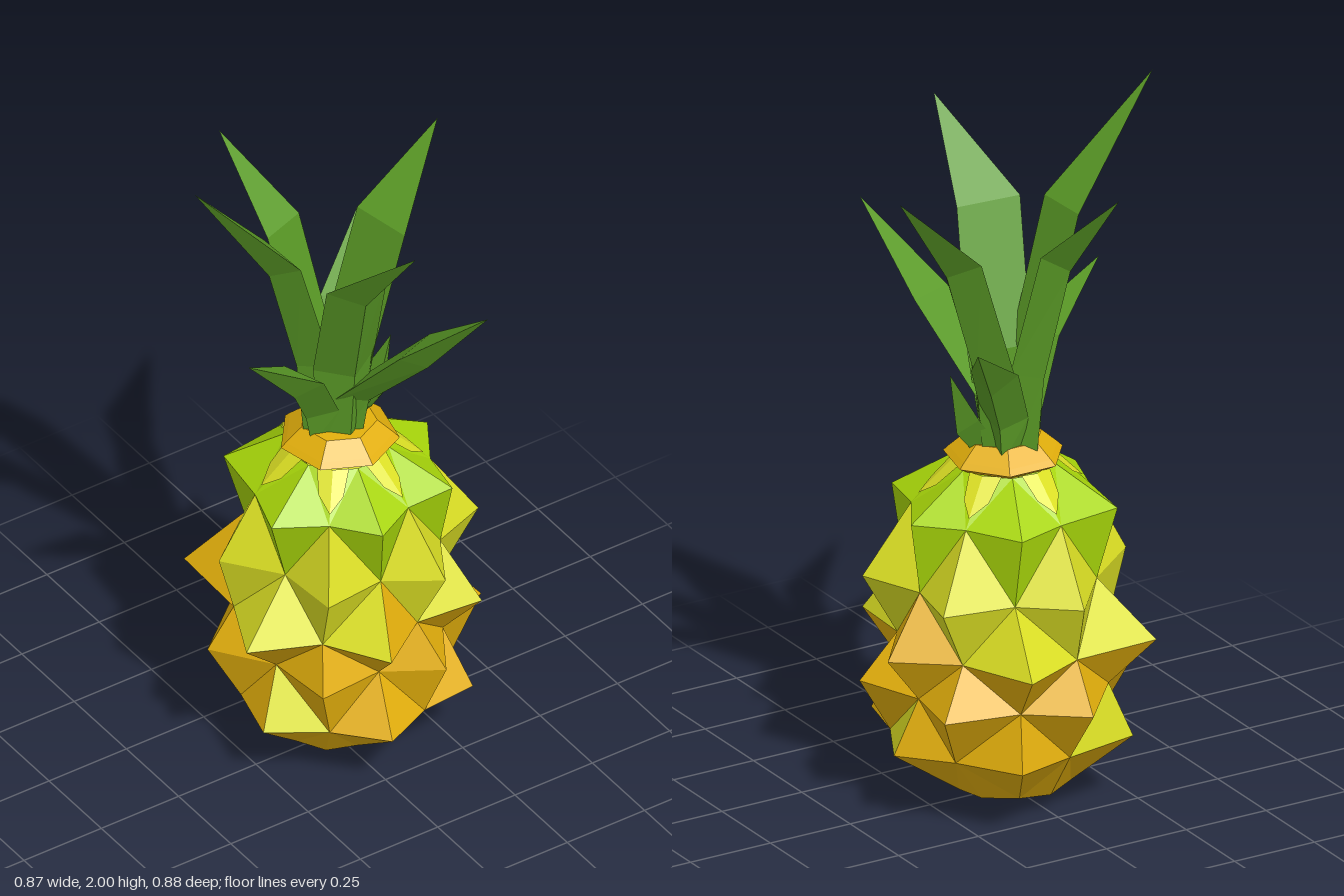
import * as THREE from 'three';

const mat = (name, color) => {
  const m = new THREE.MeshStandardMaterial({ color, flatShading: true, side: THREE.DoubleSide });
  m.name = name;
  return m;
};

function meshFrom(name, tris, material) {
  const g = new THREE.BufferGeometry();
  g.setAttribute('position', new THREE.Float32BufferAttribute(tris.flat().flatMap(p => [p.x, p.y, p.z]), 3));
  g.computeVertexNormals();
  const mesh = new THREE.Mesh(g, material);
  mesh.name = name;
  return mesh;
}

const V = (x, y, z) => new THREE.Vector3(x, y, z);

// Uneven directions shared by all rings; tips and valleys alternate along them
const ANGLES = [7, 35, 68, 97, 135, 172, 201, 230, 258, 284, 311, 337].map(THREE.MathUtils.degToRad);
const N = ANGLES.length;

// y, tip radius, valley radius, centre x, centre z
const RINGS = [
  [0.05, 0.18, 0.17, 0.02, -0.03],
  [0.20, 0.365, 0.30, 0.04, -0.02],
  [0.36, 0.39, 0.29, 0.05, -0.05],
  [0.49, 0.41, 0.30, 0.03, -0.04],
  [0.66, 0.37, 0.27, 0.055, -0.035],
  [0.86, 0.315, 0.25, 0.035, -0.025],
  [0.97, 0.14, 0.14, 0.03, -0.02],
];
const isTip = (k, j) => (j + k) % 2 === 1;

function ringPoint(k, j) {
  j = (j + N) % N;
  const [y, tip, valley, cx, cz] = RINGS[k];
  const r = isTip(k, j) ? tip : valley;
  return V(cx + r * Math.cos(ANGLES[j]), y, cz - r * Math.sin(ANGLES[j]));
}

function makeBody(mats) {
  const body = new THREE.Group();
  body.name = 'body';
  const faces = { gold: [], yellow: [], lime: [] };
  // single spike faces that ripen differently: band-column-half
  const odd = {
    '3-0-low': 'gold', '3-11-low': 'gold', '3-8-low': 'gold', '3-4-low': 'gold',
    '1-11-low': 'yellow', '1-6-low': 'yellow', '1-3-low': 'yellow',
  };
  const low = ['gold', 'gold', 'gold', 'yellow', 'yellow', 'lime'];
  const up = ['gold', 'gold', 'gold', 'yellow', 'lime', 'lime'];
  for (let b = 0; b < 6; b++) {
    for (let j = 0; j < N; j++) {
      const a = ringPoint(b, j), c = ringPoint(b, j + 1);
      const d = ringPoint(b + 1, j + 1), e = ringPoint(b + 1, j);
      // split every cell from valley to valley so the tips stand out
      const [t1, t2] = isTip(b, j) ? [[a, c, e], [c, d, e]] : [[a, c, d], [a, d, e]];
      faces[odd[`${b}-${j}-low`] || low[b]].push(t1);
      faces[up[b]].push(t2);
    }
  }
  // underside
  for (let j = 0; j < N; j++) faces.gold.push([V(0.03, 0, -0.03), ringPoint(0, j + 1), ringPoint(0, j)]);
  for (const key in faces) body.add(meshFrom(`${key}Spikes`, faces[key], mats[key]));

  // thin yellow patches running down from the collar, one over each valley
  const patches = [];
  for (let j = 1; j < N; j += 2) {
    const lift = V(Math.cos(ANGLES[j]) * 0.003, 0.004, -Math.sin(ANGLES[j]) * 0.003);
    const lower = ringPoint(5, j).add(lift), top = ringPoint(6, j).add(lift);
    const bottom = lower.clone().lerp(top, 0.2);
    for (const s of [1, -1]) {
      const next = ringPoint(6, j + s).add(lift);
      const corner = top.clone().lerp(next, 0.65);
      const edge = lower.clone().lerp(next, 0.5);
      patches.push(...(s > 0
        ? [[bottom, edge, corner], [bottom, corner, top]]
        : [[bottom, corner, edge], [bottom, top, corner]]));
    }
  }
  body.add(meshFrom('collarPatches', patches, mats.yellow));
  return body;
}

// Leaf with a flat inner face and a keel outside: upright foot, bend and pointed tip
function makeLeaf(tip, mid, width, material) {
  const core = V(0.025, 1.0, -0.04);
  const out = V(tip.x - core.x, 0, tip.z - core.z).normalize();
  const side = V(0, 1, 0).cross(out);
  const section = (p, w, keel, drop) => [
    p.clone().addScaledVector(side, -w / 2),
    p.clone().addScaledVector(out, keel).add(V(0, -drop, 0)),
    p.clone().addScaledVector(side, w / 2),
  ];
  const upright = (r, y) => core.clone().addScaledVector(out, r).setY(y);
  const sections = [
    section(upright(0.045, 1.0), width * 0.6, 0.05, 0),
    section(upright(0.06, 1 + 0.42 * (mid.y - 1)), width, 0.06, 0.02),
    section(mid, width, 0.045, 0.05),
  ];
  const tris = [];
  for (let i = 0; i < 3; i++) {
    const n = (i + 1) % 3;
    for (let k = 0; k < 2; k++) {
      const a = sections[k], b = sections[k + 1];
      tris.push([a[i], a[n], b[n]], [a[i], b[n], b[i]]);
    }
    tris.push([sections[2][i], sections[2][n], tip]);
  }
  return meshFrom('leaf', tris, material);
}

export function createModel() {
  const mats = {
    gold: mat('ripeGold', 0xe4b00c),
    yellow: mat('greenishYellow', 0xdce024),
    lime: mat('limeGreen', 0xa8d60a),
    leaf: mat('leafGreen', 0x5a9a26),
  };
  const model = new THREE.Group();
  model.name = 'pineapple';
  model.add(makeBody(mats));

  // Collar between fruit and crown
  const profile = [[0, 0.965], [0.13, 0.965], [0.165, 0.985], [0.15, 1.0], [0.105, 1.04], [0, 1.04]];
  const collar = new THREE.Mesh(
    new THREE.LatheGeometry(profile.map(p => new THREE.Vector2(...p)), 7), mats.gold);
  collar.name = 'collar';
  collar.position.set(0.03, 0, -0.02);
  model.add(collar);

  // Crown: tip, bend, width at the bend
  const crown = new THREE.Group();
  crown.name = 'crown';
  const leaves = [
    [[-0.435, 2.0, -0.02], [-0.15, 1.67, -0.02], 0.165],
    [[0.415, 1.83, -0.115], [0.195, 1.61, -0.06], 0.18],
    [[-0.01, 1.87, 0.41], [-0.03, 1.64, 0.16], 0.19],
    [[0.2, 1.6, 0.445], [0.12, 1.39, 0.21], 0.14],
    [[-0.1, 1.83, -0.4], [-0.04, 1.62, -0.18], 0.14],
    [[0.3, 1.44, -0.33], [0.15, 1.3, -0.17], 0.13],
    [[-0.335, 1.44, 0.09], [-0.12, 1.29, 0.04], 0.13],
    [[0.2, 1.25, -0.02], [0.13, 1.12, -0.02], 0.09],
  ];
  for (const [tip, mid, w] of leaves) crown.add(makeLeaf(V(...tip), V(...mid), w, mats.leaf));
  model.add(crown);
  return model;
}
